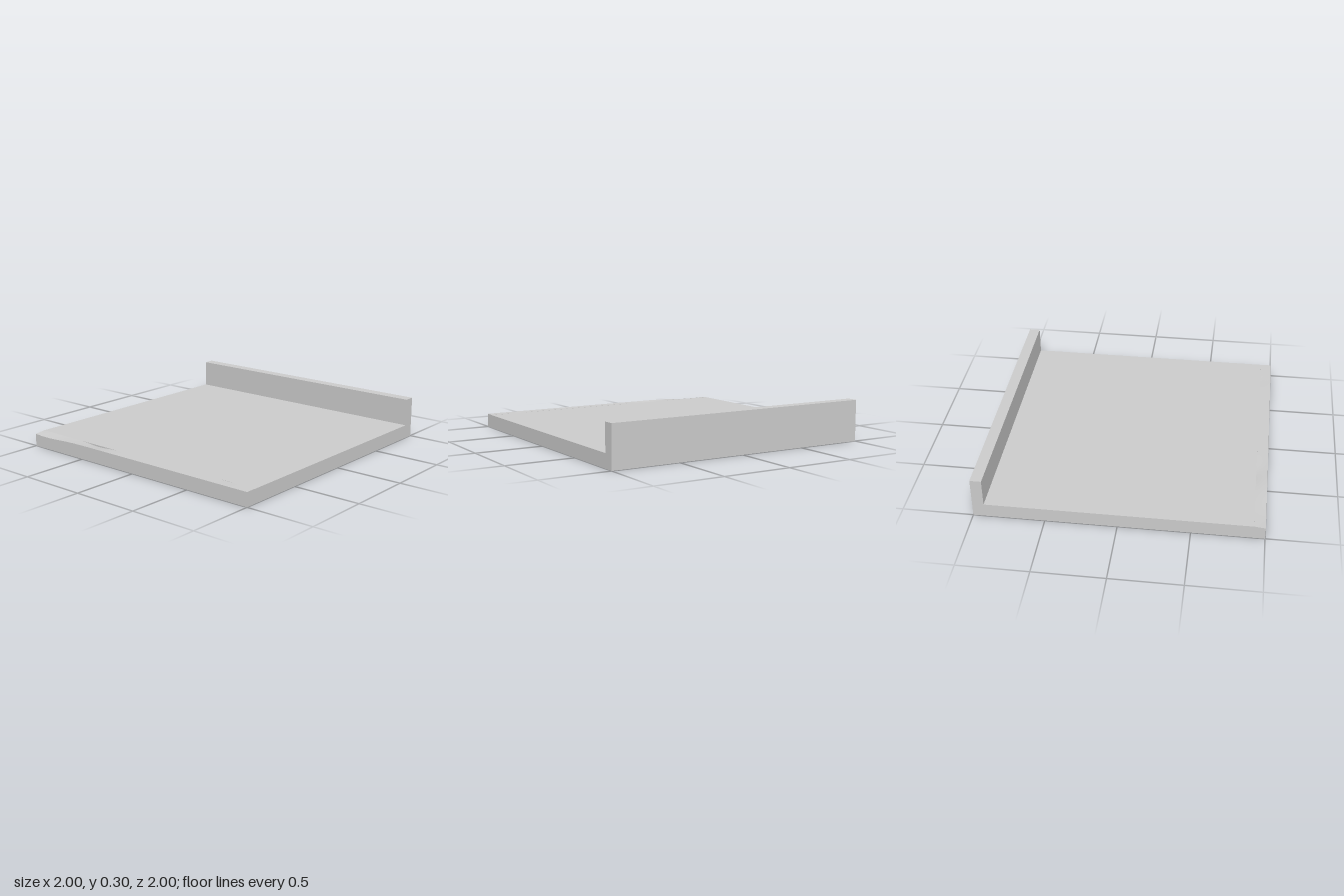
import * as THREE from 'three';

const material = new THREE.MeshStandardMaterial({ color: 0xcccccc });

function add(group, name, geometry) {
  const mesh = new THREE.Mesh(geometry, material);
  mesh.name = name;
  group.add(mesh);
}

// Smooth bump of height 1 around a centre
const bump = (v, centre, width) => Math.exp(-(((v - centre) / width) ** 2));

export function createModel() {
  const group = new THREE.Group();
  group.name = 'floorTile';

  // Flat slab and raised side wall share one L-shaped section
  const section = new THREE.Shape([
    [-0.92, 0], [1, 0], [1, 0.3], [0.92, 0.3], [0.92, 0.1], [-0.92, 0.1],
  ].map(([x, y]) => new THREE.Vector2(x, y)));
  const slab = new THREE.ExtrudeGeometry(section, { depth: 2, bevelEnabled: false });
  slab.translate(0, 0, -1);
  add(group, 'slabAndWall', slab);

  // Edge strip whose top is very slightly worn
  const strip = new THREE.BoxGeometry(0.08, 0.1, 2, 4, 1, 48);
  strip.translate(-0.96, 0.05, 0);
  const pos = strip.attributes.position;
  for (let i = 0; i < pos.count; i++) {
    if (pos.getY(i) < 0.05) continue;
    const z = pos.getZ(i);
    const outer = (-0.92 - pos.getX(i)) / 0.08;
    const innerDip = 0.012 * bump(z, -0.41, 0.12) + 0.003 * bump(z, 0.77, 0.05);
    const outerDip = 0.014 * bump(z, -0.88, 0.2);
    pos.setY(i, 0.101 - innerDip * (1 - outer) - outerDip * outer);
  }
  strip.computeVertexNormals();
  add(group, 'wornEdgeStrip', strip);

  return group;
}
